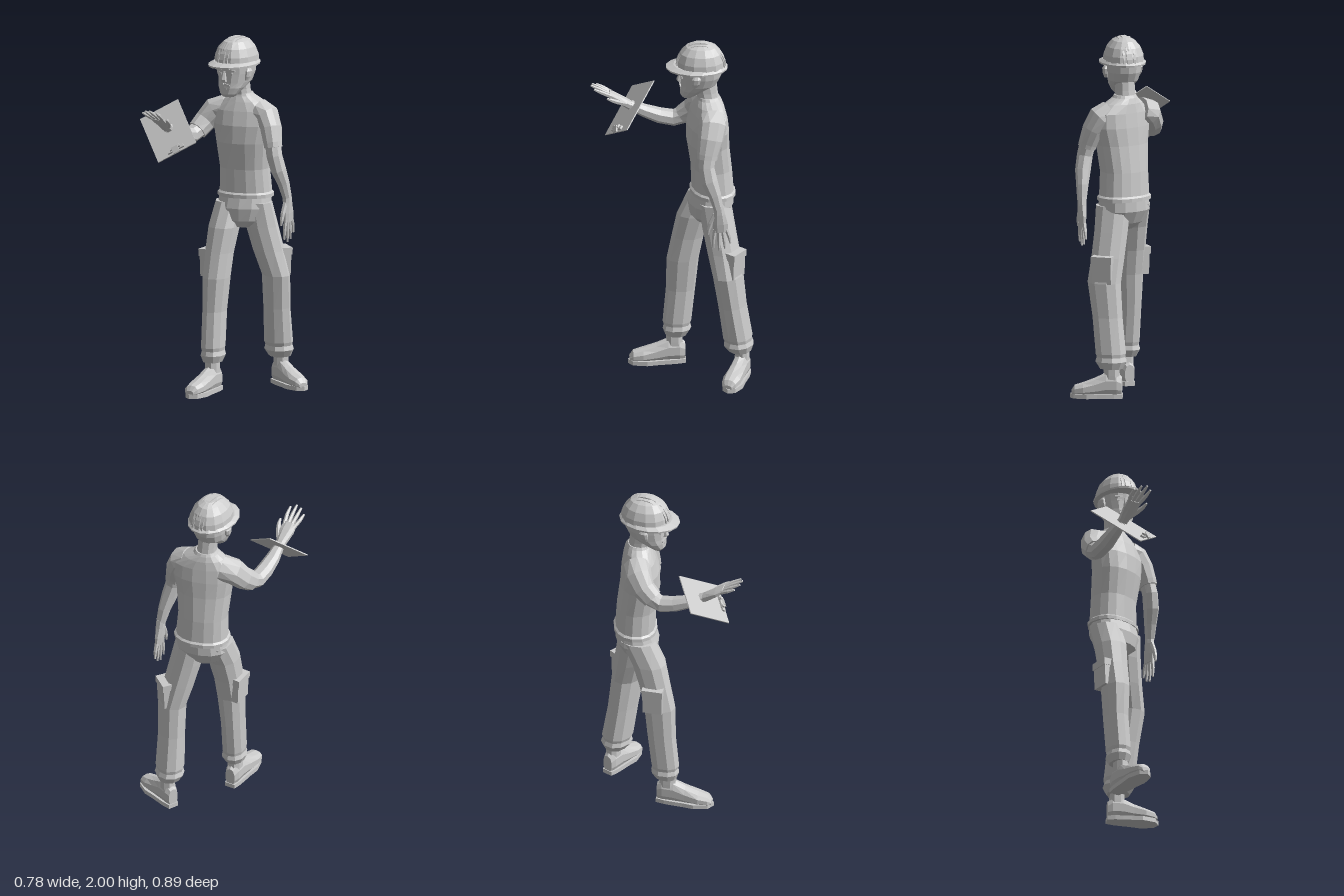
import * as THREE from 'three';

const V = (x, y, z) => new THREE.Vector3(x, y, z);
const grey = new THREE.MeshStandardMaterial({ color: 0xcccccc });
grey.name = 'light grey';

// Unshared corners give every facet its own normal
function facet(geo) {
  const g = geo.index ? geo.toNonIndexed() : geo;
  g.computeVertexNormals();
  return g;
}
function add(parent, name, geo) {
  const m = new THREE.Mesh(facet(geo), grey);
  m.name = name;
  parent.add(m);
  return m;
}
function box(parent, name, size, pos, yaw = 0) {
  const m = add(parent, name, new THREE.BoxGeometry(...size));
  m.position.set(...pos);
  m.rotation.y = yaw;
  return m;
}

// Skin over oval rings [x, y, z, halfWidth, halfDepth]; rings follow the path unless an axis is fixed
function loft(rings, { n = 10, side = V(1, 0, 0), axis = null, p = 0.9 } = {}) {
  const pos = [], idx = [], c = rings.map(r => V(r[0], r[1], r[2])), last = rings.length - 1;
  const soft = t => Math.sign(t) * Math.abs(t) ** p;
  rings.forEach((r, i) => {
    const t = axis ? axis.clone() : c[Math.min(i + 1, last)].clone().sub(c[Math.max(i - 1, 0)]).normalize();
    const u = side.clone().addScaledVector(t, -side.dot(t)).normalize();
    const w = t.clone().cross(u);
    for (let j = 0; j < n; j++) {
      const a = (j + 0.5) / n * Math.PI * 2;
      const q = c[i].clone().addScaledVector(u, r[3] * soft(Math.cos(a))).addScaledVector(w, r[4] * soft(Math.sin(a)));
      pos.push(q.x, q.y, q.z);
    }
  });
  for (let i = 0; i < last; i++) for (let j = 0; j < n; j++) {
    const a = i * n + j, b = i * n + (j + 1) % n;
    idx.push(a, b, b + n, a, b + n, a + n);
  }
  const s = pos.length / 3;
  pos.push(...c[0].toArray(), ...c[last].toArray());
  for (let j = 0; j < n; j++) {
    const k = (j + 1) % n;
    idx.push(s, k, j, s + 1, last * n + j, last * n + k);
  }
  const g = new THREE.BufferGeometry();
  g.setAttribute('position', new THREE.Float32BufferAttribute(pos, 3));
  g.setIndex(idx);
  return g;
}

const leftOf = yaw => V(Math.cos(yaw), 0, -Math.sin(yaw));
const UP = V(0, 1, 0), FWD = V(0, 0, 1);

// Hand runs along local z, thumb towards local +x
function hand(parent, name, origin, along, thumbSide, curl) {
  const g = new THREE.Group();
  g.name = name;
  const z = along.clone().normalize();
  const x = thumbSide.clone().addScaledVector(z, -thumbSide.dot(z)).normalize();
  g.applyMatrix4(new THREE.Matrix4().makeBasis(x, z.clone().cross(x), z).setPosition(origin));
  add(g, 'palm', loft([[0, 0, -0.02, 0.026, 0.024], [0, 0, 0.03, 0.033, 0.024], [0, 0, 0.09, 0.045, 0.02],
    [0, 0, 0.14, 0.042, 0.014]], { n: 8, axis: FWD }));
  [0.085, 0.115, 0.125, 0.105].forEach((len, i) => {
    const bx = (i - 1.5) * 0.021, fan = (i - 1.5) * 0.008;
    add(g, 'finger', loft([[bx, 0, 0.125, 0.011, 0.012], [bx + fan, curl * 0.4, 0.13 + len * 0.5, 0.0105, 0.011],
      [bx + fan * 1.4, curl, 0.13 + len, 0.006, 0.006]], { n: 6 }));
  });
  add(g, 'thumb', loft([[0.02, 0, 0.03, 0.016, 0.014], [0.052, curl * 0.4, 0.085, 0.014, 0.013],
    [0.066, curl * 0.7, 0.12, 0.011, 0.011], [0.072, curl, 0.15, 0.006, 0.006]], { n: 6 }));
  parent.add(g);
}

// Boot with its ankle at the local origin, toe towards +z
function boot(parent, name, x, z, yaw, len) {
  const g = new THREE.Group();
  g.name = name;
  const s = new THREE.Shape();
  s.moveTo(-0.03, -0.062);
  s.lineTo(0.03, -0.062);
  s.bezierCurveTo(0.05, 0, 0.04, 0.05, 0.058, 0.14);
  s.bezierCurveTo(0.06, 0.27, -0.05, 0.27, -0.055, 0.14);
  s.bezierCurveTo(-0.04, 0.05, -0.05, 0, -0.03, -0.062);
  const sole = new THREE.ExtrudeGeometry(s, { depth: 0.025, bevelEnabled: false, curveSegments: 4 });
  sole.rotateX(Math.PI / 2).translate(0, 0.025, 0);
  add(g, 'sole', sole);
  add(g, 'upper', loft([[0, 0.065, -0.058, 0.03, 0.055], [0, 0.075, -0.03, 0.041, 0.07], [0, 0.075, 0.03, 0.044, 0.07],
    [0, 0.06, 0.09, 0.047, 0.055], [0, 0.048, 0.16, 0.052, 0.04], [0, 0.04, 0.21, 0.042, 0.032],
    [0, 0.03, 0.228, 0.025, 0.015]], { axis: FWD }));
  add(g, 'ankle', loft([[0, 0.06, -0.005, 0.04, 0.052], [0, 0.13, -0.003, 0.04, 0.045], [0, 0.22, 0, 0.038, 0.042]], { n: 8, axis: UP }));
  g.position.set(x, 0, z);
  g.rotation.y = yaw;
  g.scale.z = len;
  parent.add(g);
}

function pocket(parent, name, pos, yaw) {
  const g = new THREE.Group();
  g.name = name;
  box(g, 'pouch', [0.05, 0.13, 0.11], [0, -0.01, 0]);
  box(g, 'flap', [0.06, 0.04, 0.118], [0, 0.06, 0]);
  g.position.set(...pos);
  g.rotation.set(0, yaw, -0.04);
  parent.add(g);
}

export function createModel() {
  const root = new THREE.Group();
  root.name = 'worker';
  const turn = leftOf(0.28);

  // Shirt and hips
  add(root, 'shirt', loft([[0.042, 1.088, -0.222, 0.158, 0.122], [0.042, 1.108, -0.222, 0.158, 0.122],
    [0.042, 1.118, -0.222, 0.147, 0.112], [0.04, 1.25, -0.215, 0.14, 0.11], [0.045, 1.4, -0.195, 0.155, 0.112],
    [0.05, 1.5, -0.195, 0.175, 0.106], [0.048, 1.58, -0.2, 0.17, 0.09], [0.04, 1.63, -0.203, 0.115, 0.077],
    [0.03, 1.66, -0.202, 0.07, 0.066], [0.03, 1.675, -0.2, 0.06, 0.06]], { n: 16, side: turn, axis: UP }));
  add(root, 'hips', loft([[0.045, 0.92, -0.19, 0.06, 0.06], [0.042, 0.96, -0.195, 0.12, 0.1], [0.04, 1.03, -0.21, 0.152, 0.122],
    [0.042, 1.11, -0.22, 0.142, 0.112]], { n: 14, side: turn, axis: UP }));

  // Trouser legs, gathered at the cuffs
  add(root, 'rightLeg', loft([[-0.035, 1.06, -0.19, 0.08, 0.1], [-0.04, 0.92, -0.125, 0.085, 0.097],
    [-0.048, 0.78, -0.09, 0.078, 0.09], [-0.05, 0.64, -0.062, 0.074, 0.09], [-0.055, 0.45, -0.05, 0.063, 0.082],
    [-0.052, 0.25, -0.03, 0.063, 0.08], [-0.052, 0.23, -0.03, 0.059, 0.074], [-0.052, 0.205, -0.03, 0.067, 0.08],
    [-0.052, 0.165, -0.025, 0.05, 0.06]], { axis: V(0, -1, 0) }));
  add(root, 'leftLeg', loft([[0.11, 1.06, -0.23, 0.08, 0.1], [0.13, 0.92, -0.25, 0.088, 0.097],
    [0.158, 0.78, -0.275, 0.085, 0.096], [0.19, 0.64, -0.3, 0.075, 0.097], [0.18, 0.45, -0.325, 0.072, 0.088],
    [0.172, 0.25, -0.355, 0.078, 0.088], [0.172, 0.23, -0.358, 0.073, 0.082], [0.172, 0.205, -0.36, 0.08, 0.09],
    [0.173, 0.165, -0.368, 0.06, 0.065]], { axis: V(0, -1, 0), side: leftOf(0.9) }));
  pocket(root, 'rightPocket', [-0.115, 0.715, -0.085], Math.PI);
  pocket(root, 'leftPocket', [0.215, 0.715, -0.34], 0.9);
  boot(root, 'rightBoot', -0.047, -0.012, 0.02, 1.08);
  boot(root, 'leftBoot', 0.175, -0.378, 1.14, 0.98);

  // Arms with sleeves
  add(root, 'leftSleeve', loft([[0.13, 1.575, -0.215, 0.07, 0.075], [0.185, 1.555, -0.215, 0.065, 0.078],
    [0.22, 1.49, -0.2, 0.056, 0.072], [0.242, 1.41, -0.183, 0.05, 0.06], [0.248, 1.385, -0.18, 0.048, 0.057]]));
  add(root, 'leftArm', loft([[0.242, 1.42, -0.183, 0.042, 0.05], [0.258, 1.34, -0.175, 0.043, 0.046],
    [0.275, 1.26, -0.19, 0.042, 0.048], [0.29, 1.18, -0.22, 0.033, 0.037], [0.3, 1.1, -0.24, 0.025, 0.029]], { n: 8 }));
  hand(root, 'leftHand', V(0.3, 1.1, -0.242), V(0.02, -1, -0.07), FWD, 0.004);
  add(root, 'rightSleeve', loft([[-0.06, 1.575, -0.19, 0.075, 0.075], [-0.13, 1.555, -0.165, 0.07, 0.075],
    [-0.165, 1.5, -0.125, 0.058, 0.065], [-0.182, 1.455, -0.07, 0.053, 0.058]]));
  add(root, 'rightArm', loft([[-0.18, 1.46, -0.08, 0.046, 0.05], [-0.19, 1.435, -0.02, 0.047, 0.046],
    [-0.193, 1.45, 0.06, 0.046, 0.043], [-0.195, 1.48, 0.14, 0.04, 0.036], [-0.192, 1.52, 0.225, 0.027, 0.027]], { n: 8 }));
  hand(root, 'rightHand', V(-0.192, 1.52, 0.225), V(0.01, 0.55, 0.83), V(1, 0, 0), -0.008);

  // Clipboard with its clip at the lower edge
  const clipboard = new THREE.Group();
  clipboard.name = 'clipboard';
  const u = V(0.749, 0.478, -0.458).normalize(), v = V(-0.662, 0.57, -0.49);
  v.addScaledVector(u, -v.dot(u)).normalize();
  clipboard.applyMatrix4(new THREE.Matrix4().makeBasis(u, v, u.clone().cross(v)).setPosition(-0.188, 1.502, 0.224));
  box(clipboard, 'board', [0.24, 0.337, 0.006], [0, 0, 0]);
  box(clipboard, 'clipPlate', [0.1, 0.022, 0.012], [0, -0.145, 0.008]);
  box(clipboard, 'clipLever', [0.04, 0.035, 0.01], [0, -0.155, 0.018]).rotation.x = 0.5;
  for (const s of [-1, 1]) box(clipboard, 'clipSpring', [0.012, 0.02, 0.02], [s * 0.025, -0.14, 0.015]);
  root.add(clipboard);

  // Neck and head
  add(root, 'neck', loft([[0.03, 1.63, -0.203, 0.056, 0.06], [0.026, 1.7, -0.192, 0.053, 0.06],
    [0.024, 1.77, -0.175, 0.056, 0.07]], { axis: UP }));
  const head = new THREE.Group();
  head.name = 'head';
  head.position.set(0.022, 0, -0.158);
  head.rotation.y = -0.1;
  add(head, 'skull', loft([[0, 1.668, 0.075, 0.035, 0.028], [0, 1.685, 0.066, 0.05, 0.05], [0, 1.72, 0.04, 0.072, 0.076],
    [0, 1.75, 0.012, 0.083, 0.102], [0, 1.8, 0, 0.094, 0.114], [0, 1.87, -0.002, 0.1, 0.122]], { n: 14, axis: UP }));
  add(head, 'nose', loft([[0, 1.758, 0.113, 0.018, 0.018], [0, 1.77, 0.118, 0.017, 0.018],
    [0, 1.818, 0.108, 0.009, 0.01]], { n: 6, axis: UP }));
  box(head, 'mouth', [0.034, 0.006, 0.012], [0, 1.718, 0.108]);
  for (const s of [-1, 1]) {
    box(head, 'moustache', [0.036, 0.012, 0.022], [s * 0.016, 1.738, 0.106], s * 0.25).rotation.z = -s * 0.25;
    box(head, 'eyebrow', [0.044, 0.01, 0.022], [s * 0.04, 1.822, 0.099], s * 0.25).rotation.z = -s * 0.1;
    box(head, 'eye', [0.028, 0.012, 0.008], [s * 0.038, 1.8, 0.104], s * 0.25);
    add(head, 'ear', loft([[s * 0.092, 1.762, 0.03, 0.009, 0.012], [s * 0.098, 1.785, 0.024, 0.013, 0.023],
      [s * 0.102, 1.815, 0.02, 0.013, 0.026], [s * 0.098, 1.83, 0.02, 0.008, 0.016]], { n: 8, axis: UP }));
  }

  // Hard hat: shell, brim and raised ribs front to back
  const hat = new THREE.Group();
  hat.name = 'hardHat';
  add(hat, 'shell', loft([[0, 1.845, 0, 0.112, 0.137], [0, 1.895, 0, 0.109, 0.132], [0, 1.94, 0, 0.092, 0.115],
    [0, 1.975, -0.002, 0.062, 0.085], [0, 1.992, -0.004, 0.03, 0.045]], { n: 14, axis: UP }));
  add(hat, 'brim', loft([[0, 1.842, 0.022, 0.128, 0.172], [0, 1.852, 0.022, 0.129, 0.174], [0, 1.866, 0.008, 0.112, 0.145]],
    { n: 16, axis: UP, p: 1 }));
  for (const [x, w, r, h] of [[0, 0.03, 0.141, 0.15], [-0.03, 0.012, 0.137, 0.143], [0.03, 0.012, 0.137, 0.143]]) {
    const arc = new THREE.Shape();
    arc.absellipse(0, 0, r, h, 0, Math.PI, false, 0);
    const rib = new THREE.ExtrudeGeometry(arc, { depth: w, bevelEnabled: false, curveSegments: 7 });
    rib.translate(0, 1.85, -w / 2).rotateY(Math.PI / 2).translate(x, 0, 0);
    add(hat, 'rib', rib);
  }
  head.add(hat);
  root.add(head);
  return root;
}
